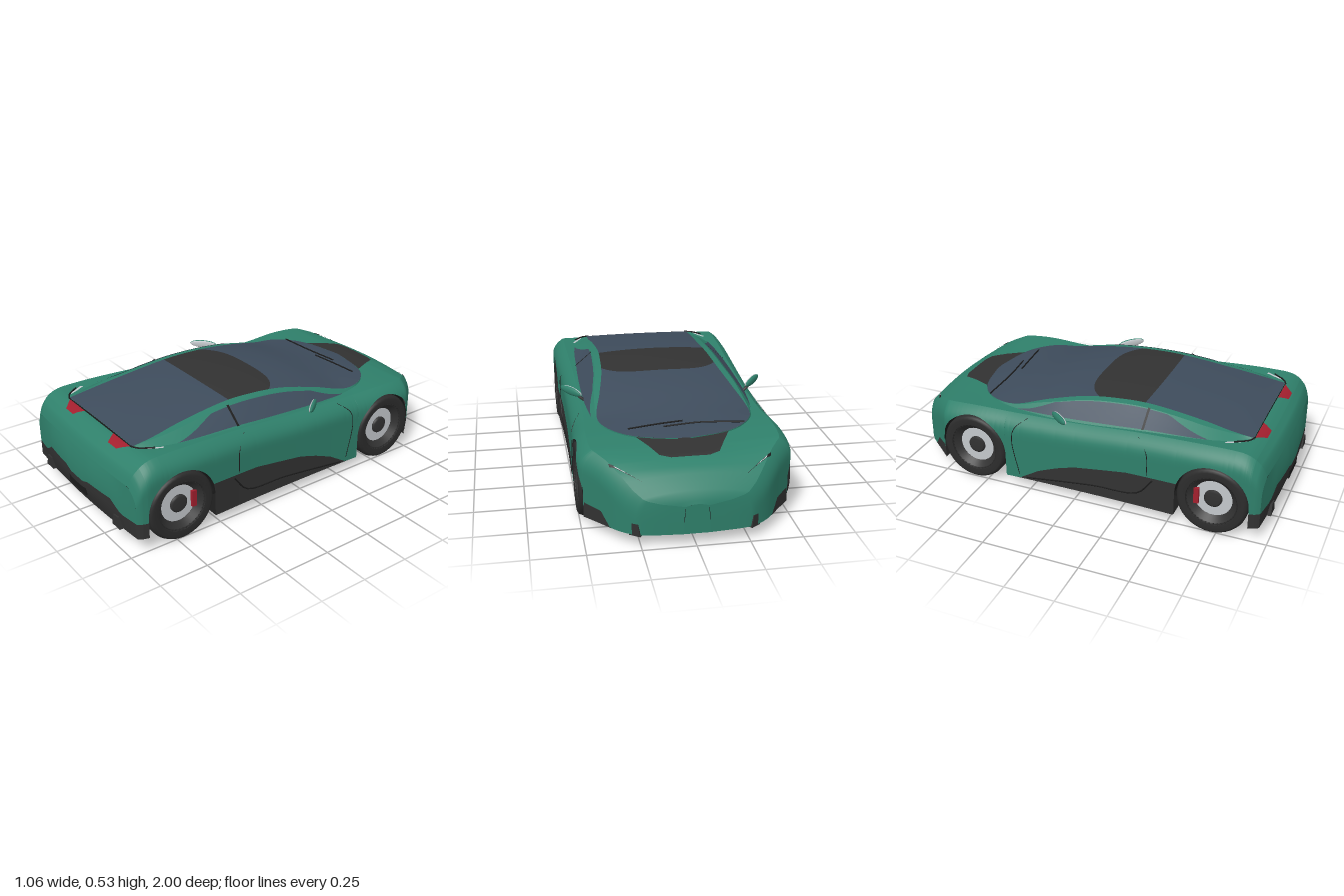
import * as THREE from 'three';

const mat = (name, color) => {
  const m = new THREE.MeshStandardMaterial({ color, side: THREE.DoubleSide });
  m.name = name;
  return m;
};

// Column c of a table keyed by its first column; smooth or straight between rows
function look(rows, c, z, smooth = true) {
  const n = rows.length - 1;
  if (z <= rows[0][0]) return rows[0][c];
  if (z >= rows[n][0]) return rows[n][c];
  let i = 0;
  while (z > rows[i + 1][0]) i++;
  const a = rows[i], b = rows[i + 1], h = b[0] - a[0], t = (z - a[0]) / h;
  if (!smooth) return a[c] + (b[c] - a[c]) * t;
  const slope = k => {
    const p = rows[Math.max(k - 1, 0)], q = rows[Math.min(k + 1, n)];
    return (q[c] - p[c]) / (q[0] - p[0]);
  };
  const t2 = t * t, t3 = t2 * t;
  return (2 * t3 - 3 * t2 + 1) * a[c] + (t3 - 2 * t2 + t) * h * slope(i)
    + (3 * t2 - 2 * t3) * b[c] + (t3 - t2) * h * slope(i + 1);
}

// Surface from fn(u, v) over two lists of parameters
function grid(us, vs, fn) {
  const pos = [], idx = [], m = vs.length;
  us.forEach(u => vs.forEach(v => pos.push(...fn(u, v))));
  for (let i = 0; i < us.length - 1; i++) for (let j = 0; j < m - 1; j++) {
    const a = i * m + j, b = a + m;
    idx.push(a, b, a + 1, b, b + 1, a + 1);
  }
  const g = new THREE.BufferGeometry();
  g.setAttribute('position', new THREE.Float32BufferAttribute(pos, 3));
  g.setIndex(idx);
  g.computeVertexNormals();
  return g;
}
const steps = (a, b, n) => Array.from({ length: n + 1 }, (_, i) => a + (b - a) * i / n);
const outline = pts => new THREE.Shape(pts.map(p => new THREE.Vector2(...p)));

// Body: z, half width, shoulder height, centre height
const BODY = [[-1, .06, .2, .21], [-.985, .23, .225, .25], [-.95, .31, .265, .29], [-.9, .365, .315, .335],
  [-.82, .432, .365, .37], [-.77, .475, .383, .379], [-.73, .505, .393, .385], [-.57, .515, .403, .395],
  [-.35, .503, .4, .4], [0, .5, .41, .4], [.3, .503, .432, .41], [.6, .513, .447, .42], [.78, .515, .45, .433],
  [.86, .515, .444, .445], [.91, .512, .418, .422], [.94, .502, .378, .385], [.955, .49, .335, .342]];
// Cabin: z, base half width, glass half width, base height, glass edge height, centre height
const CABIN = [[-.68, .03, .03, .385, .396, .397], [-.65, .18, .18, .388, .398, .402], [-.6, .28, .28, .39, .402, .41],
  [-.5, .365, .36, .395, .408, .423], [-.38, .4, .38, .395, .414, .447], [-.2, .425, .345, .4, .462, .49],
  [0, .435, .312, .405, .503, .518], [.2, .435, .298, .415, .519, .53], [.35, .43, .293, .425, .516, .527],
  [.6, .415, .3, .435, .488, .5], [.75, .38, .31, .438, .465, .478], [.855, .32, .31, .435, .452, .456]];
// Top edge of the dark sills and bumper corners along z
const SILL = [[-.9, 0], [-.88, .07], [-.84, .13], [-.76, .14], [-.74, 0], [-.36, 0], [-.3, .06], [-.2, .12], [-.1, .16],
  [0, .19], [.28, .23], [.56, .235], [.6, 0], [.88, 0], [.885, .16], [1, .16]];
// Top edge of the rear bumper along x
const BUMPER = [[0, .195], [.06, .195], [.11, .212], [.3, .215], [.36, .175], [.39, .165], [.49, .16]];
const WHEEL_Z = [-.57, .72], WHEEL_Y = .18, ARCH = .185, TAIL = .955;

const arch = z => {
  for (const c of WHEEL_Z) if (Math.abs(z - c) < ARCH) return WHEEL_Y + Math.sqrt(ARCH ** 2 - (z - c) ** 2);
  return 0;
};
const low = z => Math.max(arch(z), z < -.57 ? .065 : z > .72 ? .08 : .055);
const sillTop = z => Math.max(low(z), look(SILL, 1, z, false));
const width = z => look(BODY, 1, z);
const shoulder = z => look(BODY, 2, z);
function sideX(y, z) {
  const d = shoulder(z) - y;
  return width(z) * (d > .1 ? 1 : 1 - .12 * (1 - Math.max(d, 0) / .1) ** 2.5);
}
function topY(x, z) {
  const w = width(z), s = shoulder(z), h = look(BODY, 3, z), r = Math.abs(x) / w;
  if (r <= .88) return h + (s - h) * (r / .88) ** 2;
  return s - .1 * (1 - (Math.max(1 - r, 0) / .12) ** .4);
}
// The tail bows backwards in plan
const crown = x => 1 - (x / .49) ** 2;
const bow = (x, z) => z + .022 * crown(x) * THREE.MathUtils.smoothstep(z, .86, TAIL);

function cabin(z) {
  const [B, T, yb, yT, R] = [1, 2, 3, 4, 5].map(c => look(CABIN, c, z));
  const k = THREE.MathUtils.smoothstep(z, -.45, -.1) * (1 - THREE.MathUtils.smoothstep(z, .6, .85));
  return { B, T, yb, yT, R, T2: T + .035 * k, y2: yT - .006 * k };
}

export function createModel() {
  const green = mat('green paint', 0x2f806b), glass = mat('tinted glass', 0x3e4c5c), trim = mat('dark trim', 0x323232),
    black = mat('black', 0x1c1c1c), tyreMat = mat('tyre rubber', 0x2c2c2c), silver = mat('silver', 0xc4c8cc),
    red = mat('red', 0xa31f2e);
  const car = new THREE.Group();
  car.name = 'car';
  const add = (name, geo, m, parent = car) => {
    const mesh = new THREE.Mesh(geo, m);
    mesh.name = name;
    parent.add(mesh);
    return mesh;
  };
  const pair = (name, geo, m) => {
    add(name + 'Left', geo, m);
    add(name + 'Right', geo, m).scale.x = -1;
  };
  const tube = (pts, r) => new THREE.TubeGeometry(new THREE.CatmullRomCurve3(pts.map(p => new THREE.Vector3(...p))), 24, r, 5);

  // Stations along the car, close together round the wheel arches
  const zs = [...steps(-1, TAIL, 70), ...SILL.map(r => r[0]).filter(z => z < TAIL), -.995, -.99, -.98, .935, .945];
  for (const c of WHEEL_Z) {
    for (let i = 0; i <= 24; i++) zs.push(c - ARCH * .9999 * Math.cos(i * Math.PI / 24));
    zs.push(c - ARCH - .0005, c + ARCH + .0005);
  }
  zs.sort((a, b) => a - b);

  // Painted sides, bonnet and rear deck
  pair('bodySide', grid(zs, steps(0, 1, 14), (z, v) => {
    const b = sillTop(z), y = b + (shoulder(z) - b) * (1 - (1 - v) ** 2), x = sideX(y, z);
    return [x, y, bow(x, z)];
  }), green);
  add('bodyTop', grid(zs, steps(-1, 1, 28), (z, u) => {
    const x = u * .88 * width(z);
    return [x, topY(x, z), bow(x, z)];
  }), green);
  add('noseTip', grid(steps(-.06, .06, 16), [0, 1], (x, v) => [x, v ? topY(x, -1) : .065, -1]), green);

  // Dark sills and bumper corners
  pair('sill', grid(zs, steps(0, 1, 3), (z, v) => {
    const y = low(z) + (sillTop(z) - low(z)) * v, x = sideX(y, z);
    return [x, y, bow(x, z)];
  }), trim);

  // Rounded rear panel, and bumper leaning in towards the bottom
  const rearXs = [...steps(-.49, .49, 40), ...[...BUMPER.map(r => r[0]), ...steps(.44, .488, 8)].flatMap(x => [x, -x])]
    .sort((a, b) => a - b);
  const split = x => look(BUMPER, 1, Math.abs(x), false);
  add('rearPanel', grid(rearXs, steps(0, 1, 10), (x, v) =>
    [x, split(x) + (topY(x, TAIL) - split(x)) * v, bow(x, TAIL) + .023 * crown(x) * (1 - v * v)]), green);
  add('rearBumper', grid(rearXs, steps(0, 1, 4), (x, v) => {
    const y = .08 + (split(x) - .08) * v;
    return [x, y, bow(x, TAIL) + crown(x) * (.023 - .025 * Math.max(0, (.16 - y) / .08))];
  }), trim);
  add('plateRecess', new THREE.BoxGeometry(.165, .045, .008), black).position.set(0, .147, .994);
  const fin = new THREE.ExtrudeGeometry(outline([[-.035, 0], [.035, 0], [.02, .06], [-.02, .06]]),
    { depth: .03, bevelEnabled: false });
  pair('rearFin', fin.clone().translate(.34, .08, .953), trim);
  pair('frontFin', fin.clone().scale(.8, 1, 1).rotateY(-.62).translate(.28, .06, -.97), trim);

  // Underside: floor panels and a central tub that rises towards the tail
  [[-.995, -.756, .068], [-.384, .534, .056], [.906, TAIL, .081]].forEach(([a, b, y], i) =>
    add('floor' + i, grid(steps(a, b, 12), steps(-1, 1, 8), (z, u) => {
      const x = u * .995 * width(z);
      return [x, y, bow(x, z)];
    }), black));
  const tub = outline([[.88, .068], [.75, .05], [-.58, .05], [-.92, .1], [-.92, .31], [.88, .31]]);
  add('tub', new THREE.ExtrudeGeometry(tub, { depth: .7, bevelEnabled: false })
    .rotateY(Math.PI / 2).translate(-.35, 0, 0), black);

  // Cabin: roof rails, screens and roof panel
  const cabZ = [...steps(-.68, -.6, 8), ...steps(-.58, .855, 50)];
  pair('cabinSide', grid(cabZ, [0, .5, 1], (z, v) => {
    const c = cabin(z);
    return [c.B + (c.T2 - c.B) * v, c.yb + (c.y2 - c.yb) * v, z];
  }), green);
  pair('roofRail', grid(cabZ, [0, .5, 1], (z, v) => {
    const c = cabin(z);
    return [c.T2 + (c.T - c.T2) * v, c.y2 + (c.yT - c.y2) * v, z];
  }), green);
  const screen = (u, z) => {
    const c = cabin(z);
    return [u * c.T, c.R - (c.R - c.yT) * u * u, z];
  };
  const roofPart = (name, a, b, m) => add(name, grid(steps(-1, 1, 24), steps(0, 1, 30), (u, v) =>
    screen(u, a(u) + (b(u) - a(u)) * v)), m);
  const front = u => -.03 + .09 * u ** 4, back = u => .31 - .01 * u * u;
  roofPart('windscreen', () => -.68, front, glass);
  roofPart('roofPanel', front, back, trim);
  roofPart('rearScreen', back, () => .855, glass);
  add('rearScreenEdge', grid(steps(-1, 1, 24), [0, 1], (u, v) => {
    const p = screen(u, .855);
    return [p[0], v ? p[1] : .42, .856];
  }), black);

  // Side windows and door pillars
  const sidePatch = (a, b, n, lo, hi, off) => grid(steps(a, b, n), steps(0, 1, 4), (z, v) => {
    const c = cabin(z), t = lo + (hi(z) - lo) * v;
    return [c.B + (c.T2 - c.B) * t + off, c.yb + (c.y2 - c.yb) * t + off, z];
  });
  const taper = z => .15 + .8 * Math.max(0, Math.min(1, (z + .36) / .2, (.66 - z) / .22));
  pair('sideWindow', sidePatch(-.36, .66, 40, .15, taper, .003), glass);
  pair('doorPillar', sidePatch(.328, .34, 2, .12, () => 1, .005), black);

  // Panels and lamps lying on the upper body, from four x, z corners
  const deckPatch = (corners, off) => grid(steps(0, 1, 12), steps(0, 1, 8), (u, v) => {
    const [a, b, c, d] = corners;
    const [x, z] = [0, 1].map(k => (a[k] * (1 - u) + b[k] * u) * (1 - v) + (d[k] * (1 - u) + c[k] * u) * v);
    return [x, topY(x, z) + off, bow(x, z)];
  });
  add('bonnetPanel', deckPatch([[-.14, -.81], [.14, -.81], [.235, -.61], [-.235, -.61]], .003), trim);
  add('bonnetPanelTip', deckPatch([[-.09, -.83], [.09, -.83], [.14, -.81], [-.14, -.81]], .003), trim);
  pair('headlamp', deckPatch([[.23, -.932], [.372, -.845], [.378, -.83], [.28, -.9]], .004), black);
  pair('headlampLens', deckPatch([[.28, -.902], [.35, -.858], [.355, -.849], [.3, -.888]], .006), silver);
  pair('tailLamp', deckPatch([[.14, .858], [.3, .858], [.25, .9], [.175, .9]], .003), red);
  pair('tailReflector', deckPatch([[.392, .735], [.402, .745], [.355, .83], [.345, .825]], .004), silver);
  pair('tailLampStrip', tube([[.3, .452, .86], [.34, .453, .84], [.385, .456, .78]], .004), black);

  // Wipers, door seams and sill blade
  const onScreen = ([x, z]) => {
    const p = screen(x / cabin(z).T, z);
    return [x, p[1] + .004, z];
  };
  add('wiperLong', tube([[-.32, -.56], [-.1, -.555], [.08, -.575]].map(onScreen), .004), black);
  add('wiperShort', tube([[-.02, -.53], [.1, -.545], [.25, -.565]].map(onScreen), .004), black);
  const onSide = ([z, y]) => [sideX(y, z), y, z];
  pair('doorSeamFront', tube([[-.27, .39], [-.33, .34], [-.345, .27], [-.31, .08]].map(onSide), .002), black);
  pair('doorSeamRear', tube([[.33, .42], [.385, .36], [.39, .24]].map(onSide), .002), black);
  pair('sillBlade', tube([[.42, .22], [.34, .13], [.1, .11], [-.27, .065]].map(onSide), .004), black);

  // Door mirrors
  for (const s of [1, -1]) {
    const mirror = new THREE.Group();
    mirror.name = s > 0 ? 'mirrorLeft' : 'mirrorRight';
    const shell = add('mirrorShell', new THREE.SphereGeometry(1, 20, 12).scale(.075, .021, .012), green, mirror);
    const face = add('mirrorGlass', new THREE.SphereGeometry(1, 20, 12).scale(.074, .0205, .006), silver, mirror);
    face.position.z = .008;
    for (const p of [shell, face]) p.rotation.z = s * .08;
    mirror.position.set(s * .483, .445, -.085);
    mirror.rotation.y = -s * .88;
    car.add(mirror);
    add('mirrorArm', tube([[s * .41, .405, -.14], [s * .44, .425, -.13], [s * .46, .44, -.11]], .008), trim);
  }

  // Wheels and closed arch liners
  const lathe = (pts, ...arc) => new THREE.LatheGeometry(pts.map(p => new THREE.Vector2(...p)), 40, ...arc);
  const turned = pts => lathe(pts).rotateZ(-Math.PI / 2);
  const tyre = turned([[.128, -.055], [.16, -.062], [.172, -.055], [.178, -.04], [.178, .04], [.172, .055], [.16, .062], [.13, .058]]);
  const rim = turned([[.128, -.055], [.122, 0], [.13, .058], [.122, .05], [.095, .022]]);
  const disc = turned([[.096, .02], [.043, .02]]);
  const hub = turned([[.046, .005], [.045, .028], [.035, .032], [0, .032]]);
  const liner = lathe([[0, .08], [.187, .08], [.187, -.07]], 0, Math.PI).rotateZ(Math.PI / 2);
  WHEEL_Z.forEach((z, i) => [1, -1].forEach(s => {
    const wheel = new THREE.Group();
    wheel.name = (i ? 'rear' : 'front') + 'Wheel' + (s > 0 ? 'Left' : 'Right');
    add('tyre', tyre, tyreMat, wheel);
    add('rim', rim, trim, wheel);
    add('brakeDisc', disc, silver, wheel);
    add('hub', hub, trim, wheel);
    if (i) add('brakeCaliper', new THREE.BoxGeometry(.03, .085, .026), red, wheel).position.set(.02, 0, -.083);
    const arched = add('archLiner', liner, black, wheel);
    arched.position.set(-.025, WHEEL_Y - .178, 0);
    wheel.position.set(s * (i ? .452 : .446), .178, z);
    wheel.scale.x = s;
    car.add(wheel);
  }));
  return car;
}
